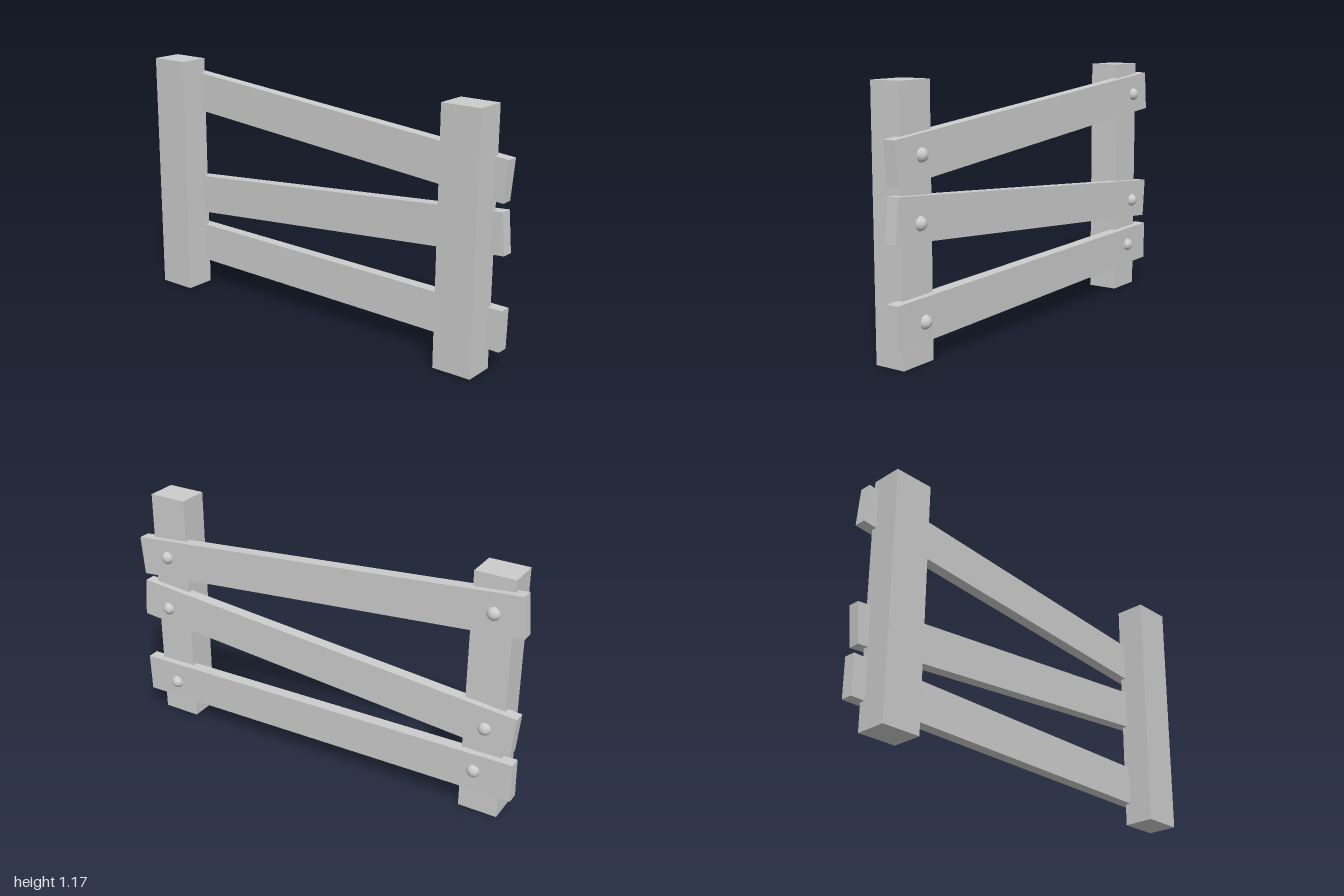
import * as THREE from 'three';

export function createModel() {
  const fence = new THREE.Group();
  fence.name = 'fence';
  const material = new THREE.MeshStandardMaterial({ color: 0xcccccc });

  function add(name, geometry, x, y, z) {
    const mesh = new THREE.Mesh(geometry, material);
    mesh.name = name;
    mesh.position.set(x, y, z);
    fence.add(mesh);
    return mesh;
  }

  // Two square posts
  const postGeometry = new THREE.BoxGeometry(0.148, 1.168, 0.188);
  add('frontPost', postGeometry, -0.03, 0.584, 0.836);
  add('backPost', postGeometry, -0.03, 0.584, -0.836);

  // Three crooked planks let into the posts, each held by two nails [y, z]
  const planks = [
    { name: 'top', y: 0.938, pitch: 0.088, roll: 0, length: 1.983, nails: [[0.872, 0.835], [1.012, -0.853]] },
    { name: 'middle', y: 0.541, pitch: -0.087, roll: 0, length: 1.983, nails: [[0.597, 0.848], [0.459, -0.853]] },
    { name: 'bottom', y: 0.209, pitch: 0.0143, roll: -0.015, length: 1.994, nails: [[0.187, 0.827], [0.228, -0.816]] },
  ];
  const nailGeometry = new THREE.SphereGeometry(0.031, 24, 16);

  for (const { name, y, pitch, roll, length, nails } of planks) {
    const plank = add(name + 'Plank', new THREE.BoxGeometry(0.056, 0.188, length), 0.046, y, 0);
    plank.rotation.set(pitch, 0, roll);
    // Round nail heads, half sunk into the plank
    nails.forEach(([ny, nz], i) => add(name + (i ? 'BackNail' : 'FrontNail'), nailGeometry, 0.07, ny, nz));
  }

  return fence;
}
